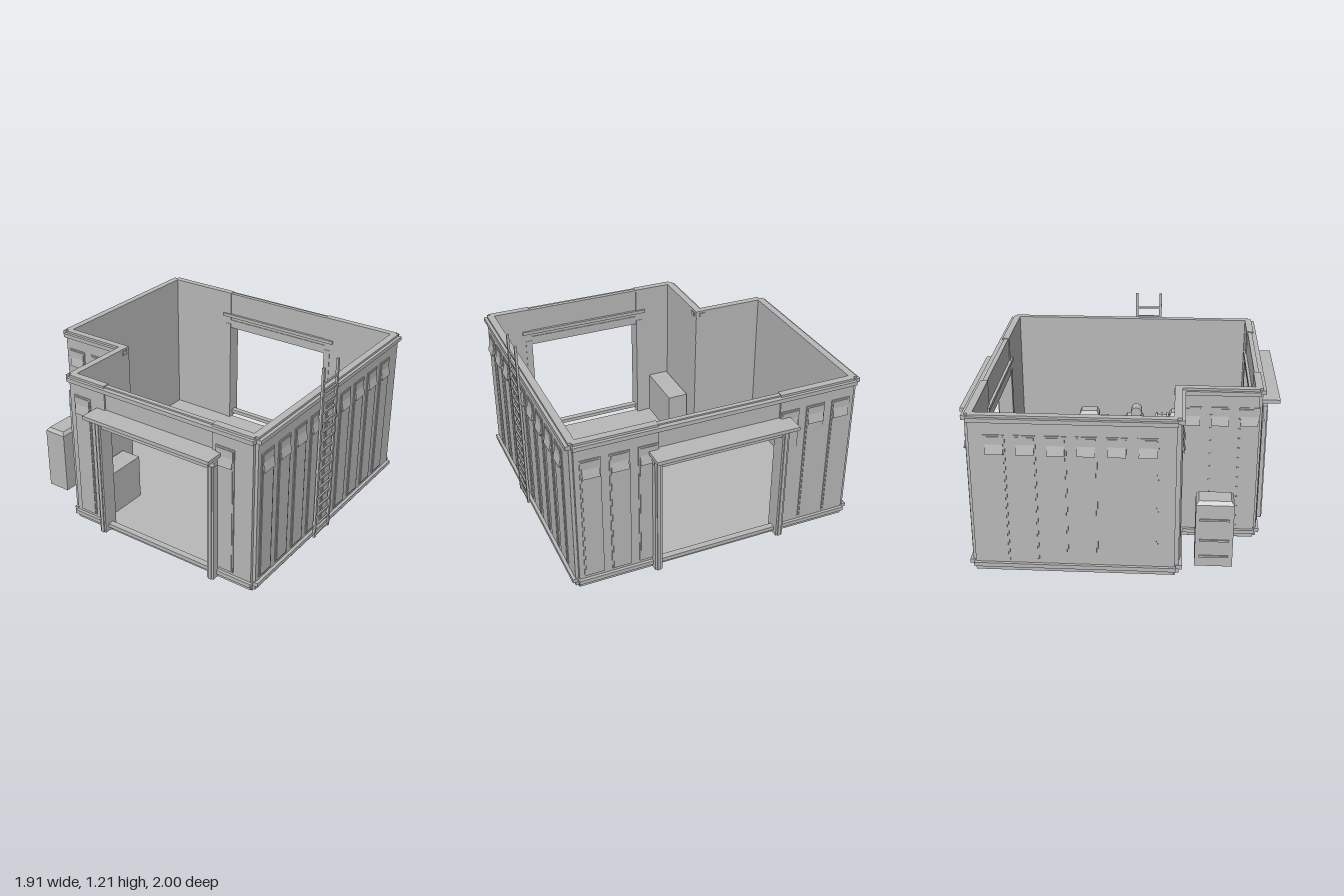
import * as THREE from 'three';

const grey = new THREE.MeshStandardMaterial({ color: 0xb8b8b8 });
grey.name = 'plain grey';

function add(parent, name, geometry) {
  const mesh = new THREE.Mesh(geometry, grey);
  mesh.name = name;
  parent.add(mesh);
  return mesh;
}

// Box given by its lower and upper limits
function box(parent, name, x0, x1, y0, y1, z0, z1) {
  const mesh = add(parent, name, new THREE.BoxGeometry(x1 - x0, y1 - y0, z1 - z0));
  mesh.position.set((x0 + x1) / 2, (y0 + y1) / 2, (z0 + z1) / 2);
  return mesh;
}

function cylinder(parent, name, radius, length, x, y, z, axis = 'y') {
  const g = new THREE.CylinderGeometry(radius, radius, length, 12);
  if (axis === 'x') g.rotateZ(Math.PI / 2);
  if (axis === 'z') g.rotateX(Math.PI / 2);
  add(parent, name, g).position.set(x, y, z);
}

// Box whose top is drawn in to form sloping shoulders
function shoulderedBox(parent, name, x0, x1, y0, y1, z0, z1, inset, drop) {
  box(parent, name, x0, x1, y0, y1 - drop, z0, z1);
  const w = x1 - x0, d = z1 - z0;
  const g = new THREE.BoxGeometry(w, drop, d).toNonIndexed();
  const p = g.attributes.position;
  for (let i = 0; i < p.count; i++) {
    if (p.getY(i) > 0) {
      p.setX(i, p.getX(i) * (1 - 2 * inset / w));
      p.setZ(i, p.getZ(i) * (1 - 2 * inset / d));
    }
  }
  g.computeVertexNormals();
  add(parent, name + 'Top', g).position.set((x0 + x1) / 2, y1 - drop / 2, (z0 + z1) / 2);
}

// Raised cladding panel with a small vent flap near its top
function claddingPanel(parent, c) {
  box(parent, 'claddingPanel', c - 0.063, c + 0.063, 0.09, 0.92, -0.01, 0.006);
  box(parent, 'claddingPanelFace', c - 0.054, c + 0.054, 0.1, 0.91, 0, 0.01);
  const flap = box(parent, 'ventFlap', c - 0.053, c + 0.053, 0.8, 0.862, 0.008, 0.016);
  flap.rotation.x = -0.2;
}

// Doorway frame with a canopy; a and b are the sides of the opening
function doorFrame(wall, a, b) {
  for (const [p, q] of [[a - 0.045, a], [b, b + 0.045]]) {
    box(wall, 'doorPost', p, q, 0.02, 0.8, -0.05, 0.05);
    box(wall, 'doorPostEdge', p + 0.012, q - 0.012, 0.02, 0.8, 0, 0.057);
  }
  box(wall, 'doorLintel', a - 0.05, b + 0.05, 0.8, 0.83, -0.045, 0.055);
  box(wall, 'doorHead', a, b, 0.77, 0.8, -0.045, 0.04);
  box(wall, 'canopy', a - 0.065, b + 0.065, 0.855, 0.878, -0.058, 0.13);
}

// Wall in its own frame: x runs along it and z = 0 is its outer face
function wall(root, name, x, z, turn, x0, x1, panels, door) {
  const g = new THREE.Group();
  g.name = name;
  g.position.set(x, 0, z);
  g.rotation.y = turn;
  root.add(g);
  if (door) {
    box(g, 'wallSide', x0, door[0], 0.015, 1.04, -0.046, 0);
    box(g, 'wallSide', door[1], x1, 0.015, 1.04, -0.046, 0);
    box(g, 'wallOverDoor', door[0], door[1], 0.77, 1.035, -0.04, -0.01);
    doorFrame(g, ...door);
  } else {
    box(g, 'wallSlab', x0, x1, 0.015, 1.04, -0.046, 0);
  }
  for (const y of [0.045, 1.0]) box(g, 'wallRail', x0 - 0.008, x1 + 0.008, y, y + 0.026, -0.02, 0.02);
  for (const c of panels) claddingPanel(g, c);
}

function row(count, first, pitch) {
  return Array.from({ length: count }, (_, i) => first + i * pitch);
}

export function createModel() {
  const root = new THREE.Group();
  root.name = 'roofless workshop';

  // Floor with one corner cut away
  const plan = new THREE.Shape([[-0.91, 0.85], [-0.91, -0.36], [-0.43, -0.36], [-0.43, -0.85], [0.905, -0.85], [0.905, 0.85]]
    .map(([x, y]) => new THREE.Vector2(x, y)));
  const floor = new THREE.ExtrudeGeometry(plan, { depth: 0.02, bevelEnabled: false });
  floor.rotateX(-Math.PI / 2);
  add(root, 'floor', floor);

  // Walls
  const q = Math.PI / 2;
  wall(root, 'frontWall', 0, 0.87, 0, -0.435, 0.905, [-0.335, 0.72], [-0.16, 0.63]);
  wall(root, 'backWall', 0, -0.87, Math.PI, -0.905, 0.91, [-0.81, -0.633, -0.456, 0.466, 0.643, 0.82], [-0.39, 0.4]);
  wall(root, 'rightWall', 0.925, 0, q, -0.85, 0.85, row(9, -0.757, 0.178));
  wall(root, 'leftWall', -0.935, 0, -q, -0.85, 0.355, row(6, -0.7, 0.178));
  wall(root, 'recessFrontWall', 0, 0.38, 0, -0.91, -0.41, [-0.82, -0.638]);
  wall(root, 'recessSideWall', -0.455, 0, -q, 0.335, 0.85, row(3, 0.437, 0.178));

  // Ladder on the right wall
  const ladder = new THREE.Group();
  ladder.name = 'ladder';
  root.add(ladder);
  for (const z of [0.037, 0.207]) {
    box(ladder, 'ladderRail', 0.942, 0.957, 0.03, 1.21, z - 0.009, z + 0.009);
    for (const y of [0.12, 0.5, 0.88]) box(ladder, 'ladderBracket', 0.92, 0.945, y, y + 0.02, z - 0.006, z + 0.006);
  }
  for (const y of row(17, 0.045, 0.0662)) box(ladder, 'ladderRung', 0.944, 0.955, y - 0.006, y + 0.006, 0.037, 0.207);

  // Free-standing cabinet outside the recess
  const cabinet = new THREE.Group();
  cabinet.name = 'outdoorCabinet';
  root.add(cabinet);
  shoulderedBox(cabinet, 'cabinetBody', -0.845, -0.69, 0.03, 0.47, 0.475, 0.705, 0.018, 0.022);
  for (const y of [0.1, 0.21, 0.35]) {
    box(cabinet, 'cabinetHinge', -0.854, -0.84, y - 0.006, y + 0.006, 0.5, 0.68);
  }

  // Storage chest beside the front door
  box(root, 'storageChest', -0.4, -0.26, 0.015, 0.32, 0.45, 0.82);

  // Workbench
  const bench = new THREE.Group();
  bench.name = 'workbench';
  root.add(bench);
  box(bench, 'benchTop', 0.68, 0.83, 0.205, 0.23, -0.52, 0.58);
  for (const z of [-0.5, 0, 0.52]) box(bench, 'benchLeg', 0.69, 0.82, 0.015, 0.21, z, z + 0.04);
  box(bench, 'benchApron', 0.685, 0.7, 0.13, 0.21, -0.52, 0.58);
  box(bench, 'sideTable', 0.54, 0.68, 0.22, 0.24, -0.13, 0.14);
  box(bench, 'tableSupport', 0.57, 0.68, 0.015, 0.22, -0.11, 0.12);
  for (const z of [-0.065, 0.005, 0.075]) cylinder(bench, 'lever', 0.005, z > 0.05 ? 0.1 : 0.03, 0.552, z > 0.05 ? 0.29 : 0.255, z);

  // Machines on the bench
  shoulderedBox(bench, 'rearMachine', 0.7, 0.805, 0.23, 0.37, -0.38, -0.235, 0.015, 0.03);
  box(bench, 'rearMachineFoot', 0.695, 0.81, 0.23, 0.29, -0.24, -0.215);
  cylinder(bench, 'rearMachineSpindle', 0.035, 0.05, 0.752, 0.29, -0.195, 'z');
  shoulderedBox(bench, 'drillBody', 0.705, 0.805, 0.23, 0.33, -0.04, 0.1, 0.015, 0.025);
  cylinder(bench, 'drillColumn', 0.018, 0.1, 0.755, 0.35, 0.03);
  cylinder(bench, 'drillHead', 0.04, 0.09, 0.725, 0.375, 0.045, 'x');
  const handle = box(bench, 'drillHandle', 0.645, 0.705, 0.33, 0.35, 0.09, 0.11);
  handle.rotation.y = 0.7;
  shoulderedBox(bench, 'frontMachine', 0.7, 0.805, 0.23, 0.37, 0.29, 0.435, 0.015, 0.03);
  cylinder(bench, 'frontMachineDrum', 0.045, 0.11, 0.752, 0.29, 0.24, 'z');
  for (const z of [0.195, 0.235, 0.275]) cylinder(bench, 'drumRing', 0.058, 0.014, 0.752, 0.29, z, 'z');

  return root;
}
